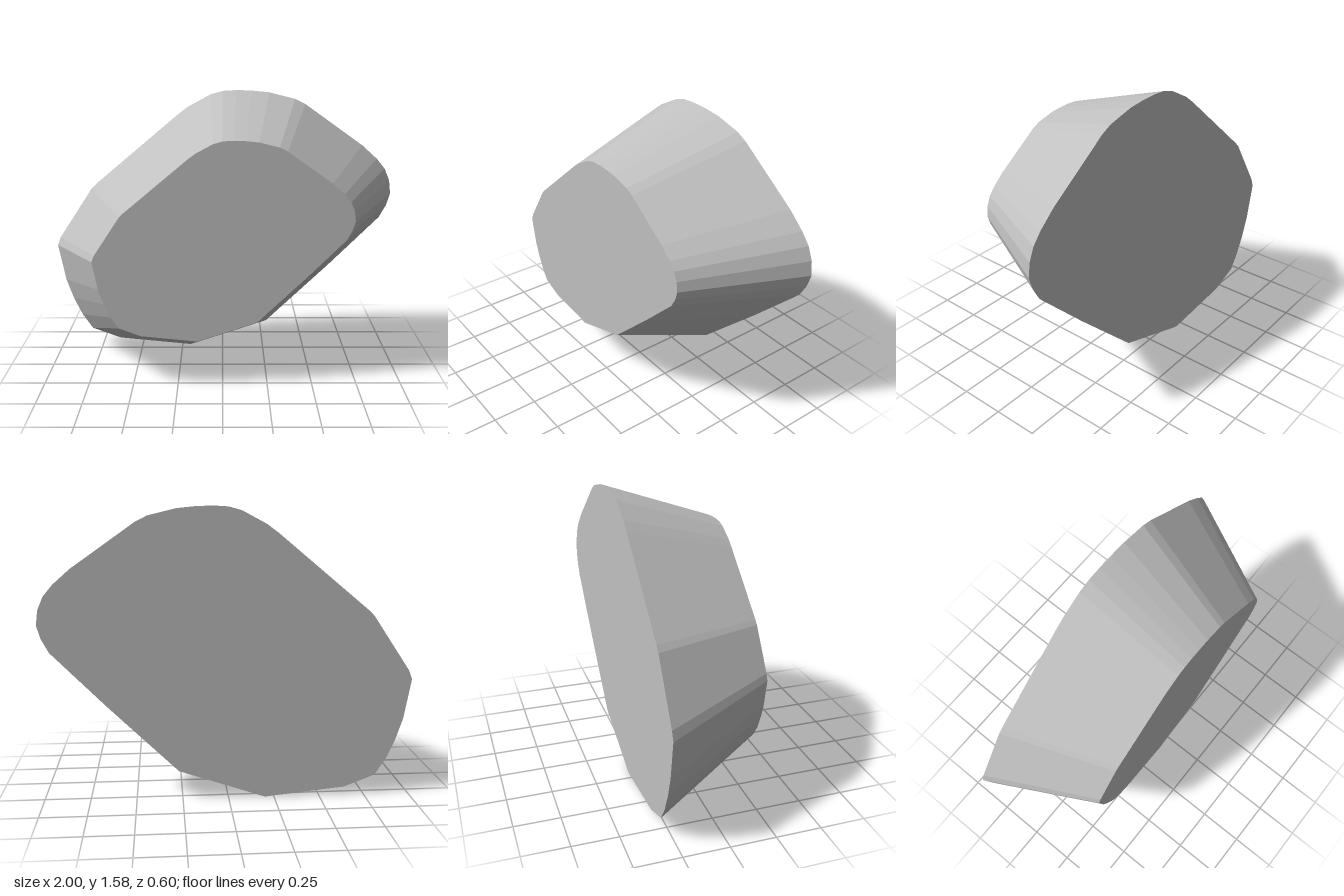
import * as THREE from 'three';

const DEPTH = 0.6;
const FRONT_SCALE = 0.7;
const CENTRE_Y = 0.91; // height the outline shrinks towards

// Large back outline, counter-clockwise seen from the front
const OUTLINE = [
  [-0.2, 0], [0.27, 0.16], [0.65, 0.53], [0.94, 0.825], [0.98, 0.9], [1, 0.97],
  [0.99, 1.05], [0.96, 1.12], [0.91, 1.18], [0.82, 1.26], [0.48, 1.5], [0.42, 1.53],
  [0.27, 1.567], [0.17, 1.577], [0.08, 1.58], [0, 1.575], [-0.07, 1.555], [-0.2, 1.485],
  [-0.26, 1.44], [-0.75, 1.03], [-0.78, 1], [-0.98, 0.7], [-1, 0.65], [-0.96, 0.43],
  [-0.92, 0.31], [-0.87, 0.2], [-0.81, 0.11], [-0.64, 0.045],
];

export function createModel() {
  const stone = new THREE.MeshStandardMaterial({ color: 0xc0c0c0 });
  stone.name = 'light grey stone';
  stone.flatShading = true;

  // Straight block from the outline, then tapered towards the front
  const shape = new THREE.Shape(OUTLINE.map(([x, y]) => new THREE.Vector2(x, y)));
  const geometry = new THREE.ExtrudeGeometry(shape, { depth: DEPTH, bevelEnabled: false });
  const pos = geometry.attributes.position;
  for (let i = 0; i < pos.count; i++) {
    const z = pos.getZ(i);
    const s = THREE.MathUtils.lerp(1, FRONT_SCALE, z / DEPTH);
    pos.setXYZ(i, pos.getX(i) * s, CENTRE_Y + (pos.getY(i) - CENTRE_Y) * s, z - DEPTH / 2);
  }
  geometry.computeVertexNormals();

  const block = new THREE.Mesh(geometry, stone);
  block.name = 'taperedStone';

  const group = new THREE.Group();
  group.name = 'stone';
  group.add(block);
  return group;
}
